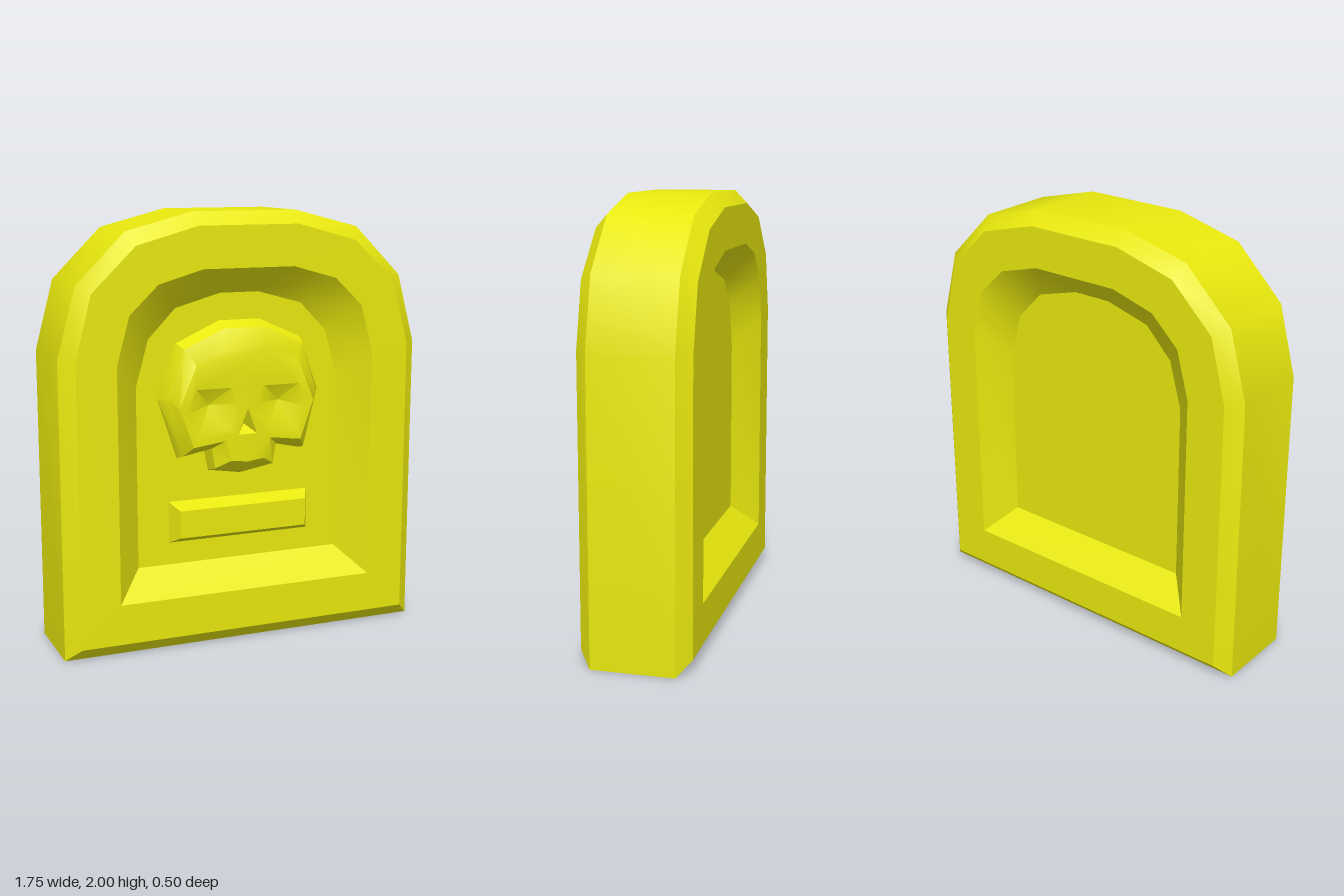
import * as THREE from 'three';
import { toCreasedNormals } from 'three/addons/utils/BufferGeometryUtils.js';

const material = new THREE.MeshStandardMaterial({ color: 0xe8e80e });

// Full counter-clockwise loop from its right half, listed bottom to top
function mirrored(half, z) {
  const left = half.filter(([x]) => x > 0).reverse().map(([x, y]) => [-x, y]);
  return [...half, ...left].map(([x, y]) => new THREE.Vector3(x, y, z));
}

// Quads between successive loops of equal length
function loft(tris, loops) {
  for (let k = 0; k + 1 < loops.length; k++) {
    const a = loops[k], b = loops[k + 1];
    for (let i = 0; i < a.length; i++) {
      const j = (i + 1) % a.length;
      tris.push(a[i], a[j], b[j], a[i], b[j], b[i]);
    }
  }
}

// Flat face inside a loop, with optional holes
function cap(tris, loop, holes = [], back = false) {
  const all = [loop, ...holes].flat();
  for (const [a, b, c] of THREE.ShapeUtils.triangulateShape(loop, holes)) {
    const [p, q, r] = [all[a], all[b], all[c]];
    const ccw = (q.x - p.x) * (r.y - p.y) - (q.y - p.y) * (r.x - p.x) > 0;
    tris.push(p, ...(ccw !== back ? [q, r] : [r, q]));
  }
}

// Hollow running from a rim to one deep point
function pit(tris, rim, deep) {
  rim.forEach((p, i) => tris.push(p, rim[(i + 1) % rim.length], deep));
}

function makeMesh(name, tris) {
  const geometry = toCreasedNormals(new THREE.BufferGeometry().setFromPoints(tris), 0.6);
  const mesh = new THREE.Mesh(geometry, material);
  mesh.name = name;
  return mesh;
}

// Arched slab, bevelled, with a sloped recess on both faces
function makeSlab() {
  const edge = [[0.875, 0], [0.875, 1.37], [0.79, 1.69], [0.56, 1.92], [0.25, 2]];
  const face = [[0.81, 0.0625], [0.81, 1.37], [0.735, 1.66], [0.53, 1.86], [0.24, 1.94]];
  const rim = [[0.625, 0.25], [0.625, 1.34], [0.565, 1.56], [0.43, 1.69], [0.22, 1.75]];
  const floor = [[0.5, 0.375], [0.5, 1.22], [0.44, 1.435], [0.31, 1.57], [0.095, 1.63]];
  const loops = [
    mirrored(floor, -0.125), mirrored(rim, -0.25), mirrored(face, -0.25), mirrored(edge, -0.19),
    mirrored(edge, 0.19), mirrored(face, 0.25), mirrored(rim, 0.25), mirrored(floor, 0.125),
  ];
  const tris = [];
  loft(tris, loops);
  cap(tris, loops[0], [], true);
  cap(tris, loops[loops.length - 1]);
  return makeMesh('slab', tris);
}

// Skull relief with sunken eyes and nose
function makeSkull() {
  const z = 0.235;
  const base = [[0, 0.785], [0.155, 0.81], [0.175, 0.91], [0.31, 0.88], [0.4, 1.16], [0.31, 1.41], [0.1, 1.505]];
  const brow = [[0, 0.805], [0.145, 0.83], [0.16, 0.925], [0.3, 0.9], [0.365, 1.16], [0.29, 1.39], [0.1, 1.475]];
  const face = [[0, 0.86], [0.08, 0.87], [0.11, 0.965], [0.265, 0.945], [0.33, 1.13], [0.25, 1.32], [0.115, 1.385]];
  const loops = [mirrored(base, 0.125), mirrored(brow, 0.19), mirrored(face, z)];

  const eye = [[0.1, 1.02], [0.24, 0.995], [0.295, 1.1], [0.25, 1.21], [0.08, 1.21], [0.05, 1.13]];
  const leftEye = eye.map(([x, y]) => new THREE.Vector3(x, y, z));
  const rightEye = eye.map(([x, y]) => new THREE.Vector3(-x, y, z)).reverse();
  const nose = mirrored([[0.045, 0.99], [0, 1.11]], z);

  const tris = [];
  loft(tris, loops);
  cap(tris, loops[2], [leftEye, rightEye, nose]);
  pit(tris, leftEye, new THREE.Vector3(0.17, 1.13, 0.18));
  pit(tris, rightEye, new THREE.Vector3(-0.17, 1.13, 0.18));
  pit(tris, nose, new THREE.Vector3(0, 1.03, 0.18));
  return makeMesh('skull', tris);
}

// Bevelled plaque below the skull
function makePlaque() {
  const back = mirrored([[0.35, 0.48], [0.35, 0.675]], 0.125);
  const front = mirrored([[0.315, 0.513], [0.315, 0.642]], 0.19);
  const tris = [];
  loft(tris, [back, front]);
  cap(tris, front);
  return makeMesh('plaque', tris);
}

export function createModel() {
  const group = new THREE.Group();
  group.name = 'tombstone';
  group.add(makeSlab(), makeSkull(), makePlaque());
  return group;
}
